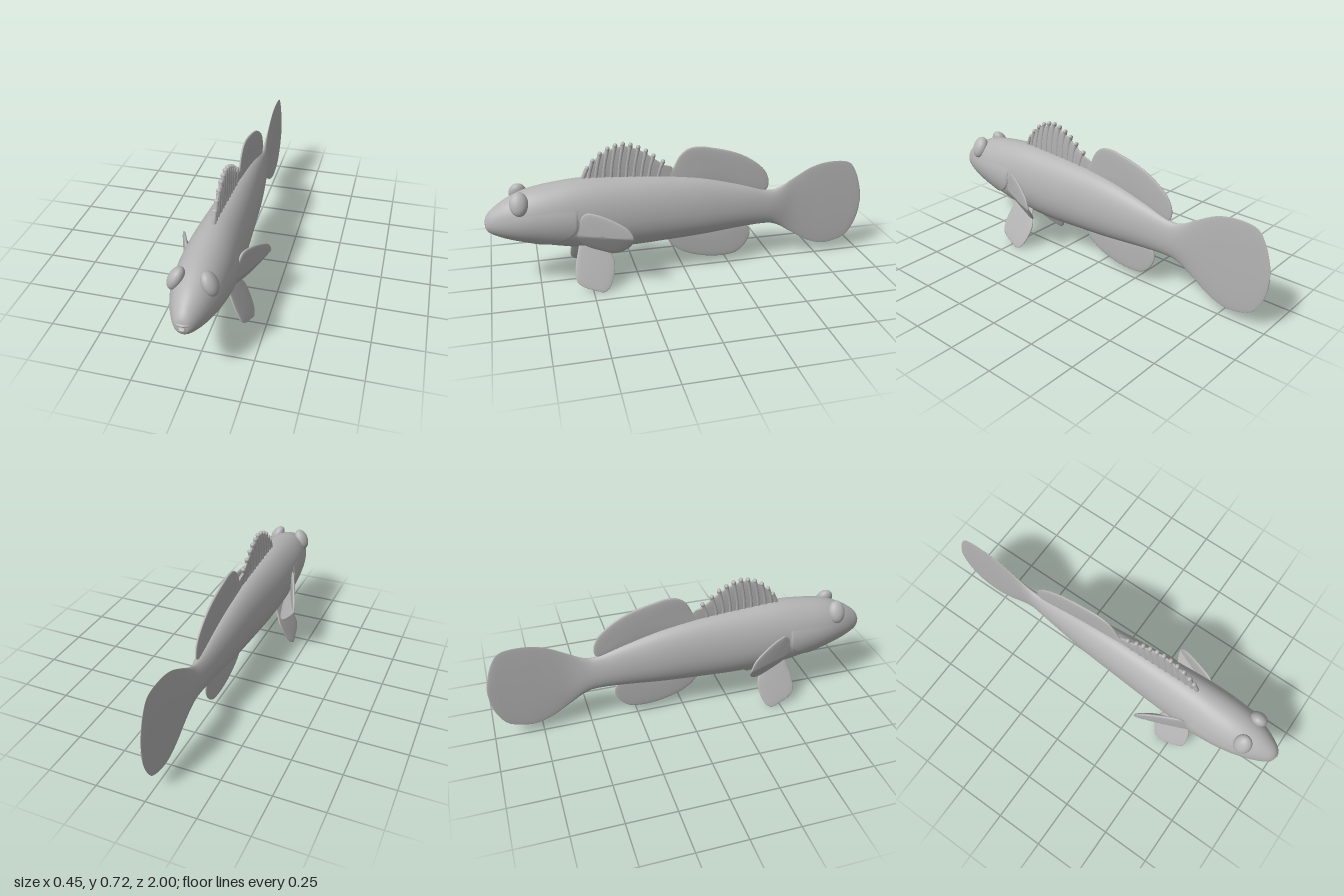
import * as THREE from 'three';

const skin = new THREE.MeshStandardMaterial({ color: 0xb4b4b4 });
skin.name = 'grey skin';

function mesh(name, geometry) {
  const m = new THREE.Mesh(geometry, skin);
  m.name = name;
  return m;
}

// Smooth surface from rows of closed loops; at(u, v) returns [x, y, z]
function loft(rows, cols, at) {
  const pos = [], idx = [];
  for (let i = 0; i <= rows; i++)
    for (let j = 0; j < cols; j++) pos.push(...at(i / rows, j / cols));
  for (let i = 0; i < rows; i++)
    for (let j = 0; j < cols; j++) {
      const a = i * cols + j, b = i * cols + (j + 1) % cols;
      idx.push(a, b, a + cols, b, b + cols, a + cols);
    }
  const g = new THREE.BufferGeometry();
  g.setAttribute('position', new THREE.Float32BufferAttribute(pos, 3));
  g.setIndex(idx);
  g.computeVertexNormals();
  return g;
}

// Body and tail sections: z, top, bottom, half width
const sections = [
  [-1, 0.31, 0.29, 0.003], [-0.99, 0.37, 0.21, 0.005], [-0.96, 0.46, 0.135, 0.006],
  [-0.91, 0.52, 0.08, 0.006], [-0.8, 0.53, 0.055, 0.007], [-0.7, 0.508, 0.083, 0.008],
  [-0.6, 0.455, 0.145, 0.012], [-0.52, 0.41, 0.195, 0.024], [-0.45, 0.403, 0.212, 0.036],
  [-0.3, 0.45, 0.207, 0.06], [-0.1, 0.502, 0.19, 0.085], [0.1, 0.53, 0.18, 0.101],
  [0.3, 0.546, 0.174, 0.115], [0.5, 0.556, 0.187, 0.126], [0.65, 0.545, 0.215, 0.128],
  [0.78, 0.523, 0.246, 0.116], [0.88, 0.485, 0.272, 0.09], [0.95, 0.44, 0.298, 0.06],
  [0.985, 0.405, 0.32, 0.036], [0.997, 0.372, 0.345, 0.012]];
const heights = new THREE.CatmullRomCurve3(
  sections.map(s => new THREE.Vector3(s[0], s[1], s[2])), false, 'catmullrom', 0.5);
const widths = new THREE.CatmullRomCurve3(
  sections.map(s => new THREE.Vector3(s[0], s[3], 0)), false, 'catmullrom', 0.5);

function bodyPoint(u, angle, scale = 1) {
  const h = heights.getPoint(u), w = widths.getPoint(u).y;
  const middle = h.z + (h.y - h.z) * 0.46, s = Math.sin(angle);
  const reach = s > 0 ? h.y - middle : middle - h.z;
  return [w * scale * Math.cos(angle), middle + reach * scale * s, h.x];
}

// Curve parameter at a given z
function paramAt(z) {
  let lo = 0, hi = 1;
  for (let i = 0; i < 20; i++) {
    const mid = (lo + hi) / 2;
    if (heights.getPoint(mid).x < z) lo = mid; else hi = mid;
  }
  return lo;
}

// Head shell whose rear rim forms the gill cover step
function headShell() {
  return loft(32, 64, (t, v) => {
    const a = v * Math.PI * 2, s = Math.sin(a);
    const edge = 0.555 + 0.24 * Math.max(0, -s) ** 2;
    const swell = 1 - THREE.MathUtils.smoothstep(s, 0.05, 0.5);
    const k = Math.max(0, t - 1 / 32) * 32 / 31;
    const scale = t === 0 ? 0.97 : 1 + 0.04 * swell * (1 - k) - 0.008 * (1 - swell);
    return bodyPoint(paramAt(edge + (0.99 - edge) * k), a, scale);
  });
}

// Thin rounded fin from a [z, y] outline; bend(z, y) pushes it sideways
function fin(outline, half, side = 1, bend = () => 0) {
  let pts = outline.map(p => new THREE.Vector2(...p));
  if (THREE.ShapeUtils.area(pts) > 0) pts.reverse();
  const curve = new THREE.CatmullRomCurve3(
    pts.map(p => new THREE.Vector3(0, p.y, p.x)), true, 'centripetal');
  const c = pts.reduce((sum, p) => sum.add(p), new THREE.Vector2()).divideScalar(pts.length);
  const rim = Array.from({ length: 80 }, (_, j) => curve.getPoint(j / 80));
  return loft(28, 80, (u, v) => {
    const phi = (u - 0.5) * Math.PI, s = Math.cos(phi);
    const p = rim[Math.round(v * 80)];
    const z = c.x + (p.z - c.x) * s, y = c.y + (p.y - c.y) * s;
    const lens = half * Math.sign(phi) * Math.sqrt(Math.abs(Math.sin(phi)));
    return [side * bend(z, y) + lens, y, z];
  });
}

function ellipsoid(name, radii, position, tilt = 0) {
  const m = mesh(name, new THREE.SphereGeometry(1, 32, 20));
  m.scale.set(...radii);
  m.position.set(...position);
  m.rotation.z = tilt;
  return m;
}

export function createModel() {
  const fish = new THREE.Group();
  fish.name = 'fish';
  fish.add(mesh('bodyAndTail', loft(150, 64, (u, v) => bodyPoint(u, v * Math.PI * 2))));
  fish.add(mesh('headAndGillCovers', headShell()));
  fish.add(ellipsoid('upperLip', [0.042, 0.014, 0.035], [0, 0.372, 0.965]));
  fish.add(ellipsoid('lowerLip', [0.038, 0.013, 0.035], [0, 0.345, 0.963]));

  // Spiny front dorsal fin
  const crest = new THREE.SplineCurve([[0.49, 0.6], [0.45, 0.648], [0.4, 0.685], [0.35, 0.705],
    [0.3, 0.71], [0.25, 0.695], [0.2, 0.67], [0.15, 0.632], [0.09, 0.59]]
    .map(p => new THREE.Vector2(...p)));
  const web = crest.getPoints(12).map(p => [p.x, p.y - 0.006]);
  fish.add(mesh('frontDorsalFin',
    fin([[0.49, 0.53], ...web, [0.06, 0.575], [0.06, 0.5], [0.28, 0.52]], 0.008)));
  const spines = new THREE.Group();
  spines.name = 'dorsalSpines';
  for (let i = 0; i < 11; i++) {
    const tip = crest.getPoint(i / 10.5);
    const top = new THREE.Vector3(0, tip.y + 0.004, tip.x - 0.004);
    const path = new THREE.CatmullRomCurve3([
      new THREE.Vector3(0, 0.52, tip.x + 0.025),
      new THREE.Vector3(0, (0.52 + top.y) / 2, tip.x + 0.015), top]);
    spines.add(mesh('spine', new THREE.TubeGeometry(path, 10, 0.011, 10)));
    spines.add(ellipsoid('spineTip', [0.013, 0.012, 0.011], top.toArray()));
  }
  fish.add(spines);

  // Rear dorsal and anal fins
  fish.add(mesh('rearDorsalFin', fin([[0.09, 0.5], [0.05, 0.575], [0.02, 0.63], [-0.02, 0.663],
    [-0.08, 0.672], [-0.15, 0.66], [-0.23, 0.64], [-0.31, 0.61], [-0.39, 0.56], [-0.44, 0.51],
    [-0.462, 0.45], [-0.45, 0.405], [-0.38, 0.41], [-0.2, 0.46]], 0.01)));
  fish.add(mesh('analFin', fin([[0.09, 0.2], [0.06, 0.14], [0, 0.095], [-0.1, 0.06],
    [-0.2, 0.047], [-0.29, 0.058], [-0.345, 0.105], [-0.368, 0.165], [-0.355, 0.205],
    [-0.3, 0.225], [-0.1, 0.21]], 0.009)));

  // Paired parts
  for (const side of [1, -1]) {
    const label = side > 0 ? 'left' : 'right';
    fish.add(ellipsoid(label + 'Eye', [0.034, 0.06, 0.045],
      [side * 0.075, 0.477, 0.827], side * 0.45));
    fish.add(mesh(label + 'PectoralFin', fin([[0.575, 0.36], [0.55, 0.385], [0.515, 0.42],
      [0.47, 0.418], [0.39, 0.39], [0.32, 0.345], [0.298, 0.29], [0.325, 0.225], [0.38, 0.188],
      [0.45, 0.2], [0.53, 0.235], [0.575, 0.29]], 0.011, side,
      (z, y) => 0.115 + 0.4 * (0.56 - z) - 0.6 * Math.max(0, 0.3 - y))));
    fish.add(mesh(label + 'PelvicFin', fin([[0.54, 0.245], [0.565, 0.19], [0.582, 0.12],
      [0.58, 0.065], [0.545, 0.035], [0.49, 0.014], [0.45, 0.003], [0.42, 0.02], [0.39, 0.085],
      [0.385, 0.14], [0.405, 0.19], [0.43, 0.245]], 0.009, side,
      (z, y) => 0.08 + 0.46 * (0.21 - y))));
  }
  return fish;
}
